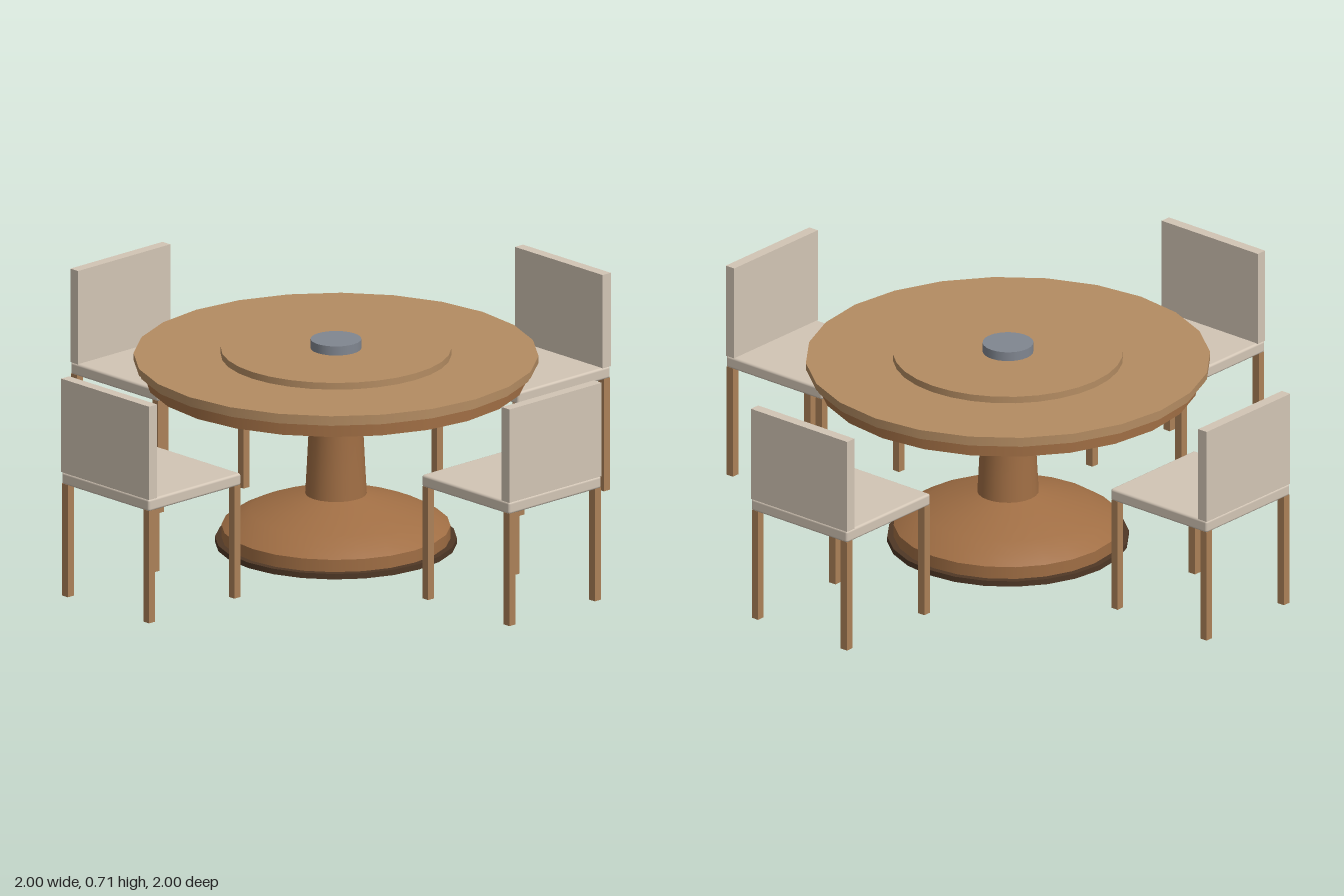
import * as THREE from 'three';
import { RoundedBoxGeometry } from 'three/addons/geometries/RoundedBoxGeometry.js';

const material = (color) => new THREE.MeshStandardMaterial({ color });
const topWood = material(0xb48c62);
const baseWood = material(0xa06e44);
const darkWood = material(0x4f3826);
const legWood = material(0xab8158);
const fabric = material(0xd2c5b5);
const metal = material(0x808690);

function add(parent, name, geometry, mat, x = 0, y = 0, z = 0) {
  const mesh = new THREE.Mesh(geometry, mat);
  mesh.name = name;
  mesh.position.set(x, y, z);
  parent.add(mesh);
  return mesh;
}

// Round slab standing between heights y0 and y1
function disc(parent, name, mat, radius, y0, y1, sides = 24) {
  add(parent, name, new THREE.CylinderGeometry(radius, radius, y1 - y0, sides), mat, 0, (y0 + y1) / 2, 0);
}

function createTable() {
  const table = new THREE.Group();
  table.name = 'table';

  // Foot: dark plinth, straight rim, then a sloping dome
  disc(table, 'plinth', darkWood, 0.38, 0, 0.018);
  disc(table, 'footRim', baseWood, 0.36, 0.018, 0.058);
  const dome = [[0.36, 0.058], [0.32, 0.085], [0.27, 0.108], [0.2, 0.133], [0.14, 0.152], [0.095, 0.165]];
  add(table, 'footDome', new THREE.LatheGeometry(dome.map(([r, y]) => new THREE.Vector2(r, y)), 24), baseWood);

  // Tapered column flaring out under the top
  const column = [[0.097, 0.16], [0.092, 0.25], [0.086, 0.37], [0.087, 0.44], [0.096, 0.49], [0.12, 0.54]];
  add(table, 'column', new THREE.LatheGeometry(column.map(([r, y]) => new THREE.Vector2(r, y)), 24), baseWood);

  // Top: apron, shadow band, slab, turntable and centre cap
  disc(table, 'apron', baseWood, 0.6, 0.54, 0.588);
  disc(table, 'topBand', topWood, 0.628, 0.586, 0.6);
  disc(table, 'tabletop', topWood, 0.636, 0.598, 0.62);
  disc(table, 'turntable', topWood, 0.362, 0.62, 0.642, 32);
  disc(table, 'centreCap', metal, 0.08, 0.642, 0.672, 24);
  return table;
}

// Chair with its back on the +z side, facing the table
function createChair() {
  const chair = new THREE.Group();
  chair.name = 'chair';
  add(chair, 'seat', new RoundedBoxGeometry(0.4, 0.04, 0.4, 2, 0.008), fabric, 0, 0.388, 0.8);
  add(chair, 'backrest', new THREE.BoxGeometry(0.4, 0.308, 0.035), fabric, 0, 0.561, 0.9825);
  for (const x of [-0.185, 0.185]) {
    for (const z of [0.615, 0.985]) {
      add(chair, z < 0.8 ? 'frontLeg' : 'backLeg', new THREE.BoxGeometry(0.026, 0.37, 0.026), legWood, x, 0.185, z);
    }
  }
  return chair;
}

export function createModel() {
  const model = new THREE.Group();
  model.name = 'diningSet';
  model.add(createTable());
  // Four chairs around the table
  for (let i = 0; i < 4; i++) {
    const chair = createChair();
    chair.rotation.y = (i * Math.PI) / 2;
    model.add(chair);
  }
  return model;
}
